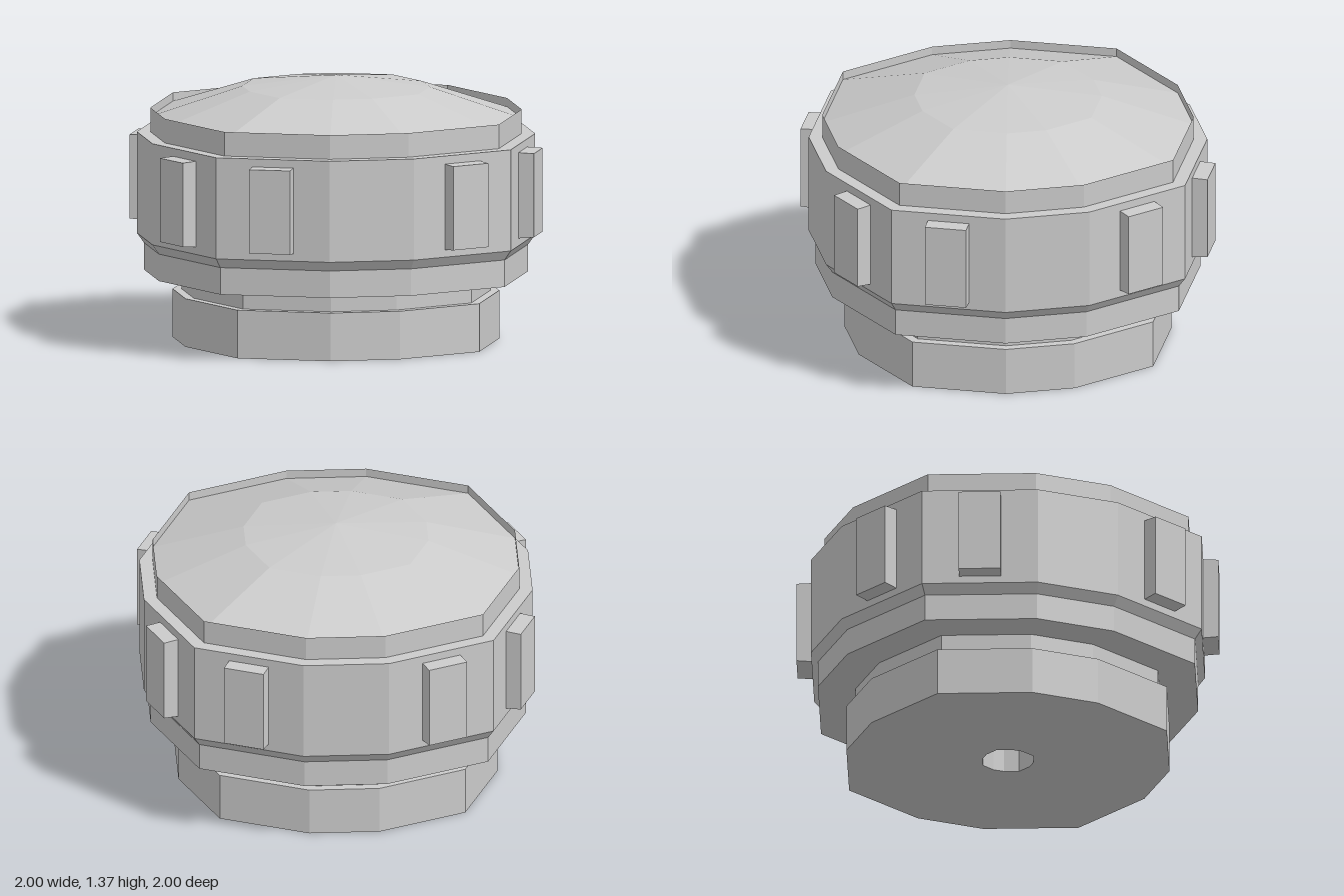
import * as THREE from 'three';

const material = new THREE.MeshStandardMaterial({ color: 0xcccccc, flatShading: true });
const thinMaterial = new THREE.MeshStandardMaterial({ color: 0xcccccc, flatShading: true, side: THREE.DoubleSide });

// Twelve-sided outline [x, z]: one quadrant turned four times.
const outline = [];
let quadrant = [[0.22, 1], [0.77, 0.77], [1, 0.22]];
for (let q = 0; q < 4; q++) {
  outline.push(...quadrant);
  quadrant = quadrant.map(([x, z]) => [z, -x]);
}

// Sweeps a profile of [scale, y] steps around the outline.
function loft(name, profile, mat = material) {
  const positions = [];
  const point = (i, [s, y]) => {
    const [x, z] = outline[i % outline.length];
    return [x * s, y, z * s];
  };
  for (let k = 0; k < profile.length - 1; k++) {
    const low = profile[k], high = profile[k + 1];
    for (let i = 0; i < outline.length; i++) {
      const a = point(i, low), b = point(i + 1, low);
      const c = point(i + 1, high), d = point(i, high);
      if (low[0] > 0) positions.push(...a, ...b, ...c);
      if (high[0] > 0) positions.push(...a, ...c, ...d);
    }
  }
  const geometry = new THREE.BufferGeometry();
  geometry.setAttribute('position', new THREE.Float32BufferAttribute(positions, 3));
  geometry.computeVertexNormals();
  const mesh = new THREE.Mesh(geometry, mat);
  mesh.name = name;
  return mesh;
}

// Grip block whose outer face is slightly shorter than its root.
function gripGeometry() {
  const geometry = new THREE.BoxGeometry(0.215, 0.45, 0.12);
  const p = geometry.attributes.position;
  for (let i = 0; i < p.count; i++) {
    if (p.getZ(i) > 0) p.setY(i, p.getY(i) > 0 ? 0.22 : -0.215);
  }
  geometry.computeVertexNormals();
  return geometry;
}

export function createModel() {
  const model = new THREE.Group();
  model.name = 'knob';

  model.add(
    // Foot with a blind shaft hole underneath
    loft('foot', [[0, 0.25], [0.13, 0.25], [0.13, 0], [0.82, 0], [0.82, 0.25], [0.775, 0.25]]),
    loft('neck', [[0.775, 0.25], [0.775, 0.35]]),
    loft('body', [[0.775, 0.35], [0.965, 0.35], [0.965, 0.49], [1, 0.54], [1, 1.065], [0.93, 1.065]]),
    // Thin rim standing just above the edge of the dome
    loft('rim', [[0.932, 1.065], [0.932, 1.19]], thinMaterial),
    loft('dome', [[0.932, 1.145], [0.47, 1.305], [0, 1.365]]),
  );

  // Grips: two per side, centred on the slanted faces
  const grip = gripGeometry();
  const tilt = Math.atan2(0.23, 0.55);
  for (let side = 0; side < 4; side++) {
    const pair = new THREE.Group();
    pair.name = 'gripPair';
    pair.rotation.y = side * Math.PI / 2;
    for (const s of [-1, 1]) {
      const mesh = new THREE.Mesh(grip, material);
      mesh.name = 'grip';
      mesh.position.set(s * (0.495 + 0.02 * Math.sin(tilt)), 0.8, 0.885 + 0.02 * Math.cos(tilt));
      mesh.rotation.y = s * tilt;
      pair.add(mesh);
    }
    model.add(pair);
  }
  return model;
}
